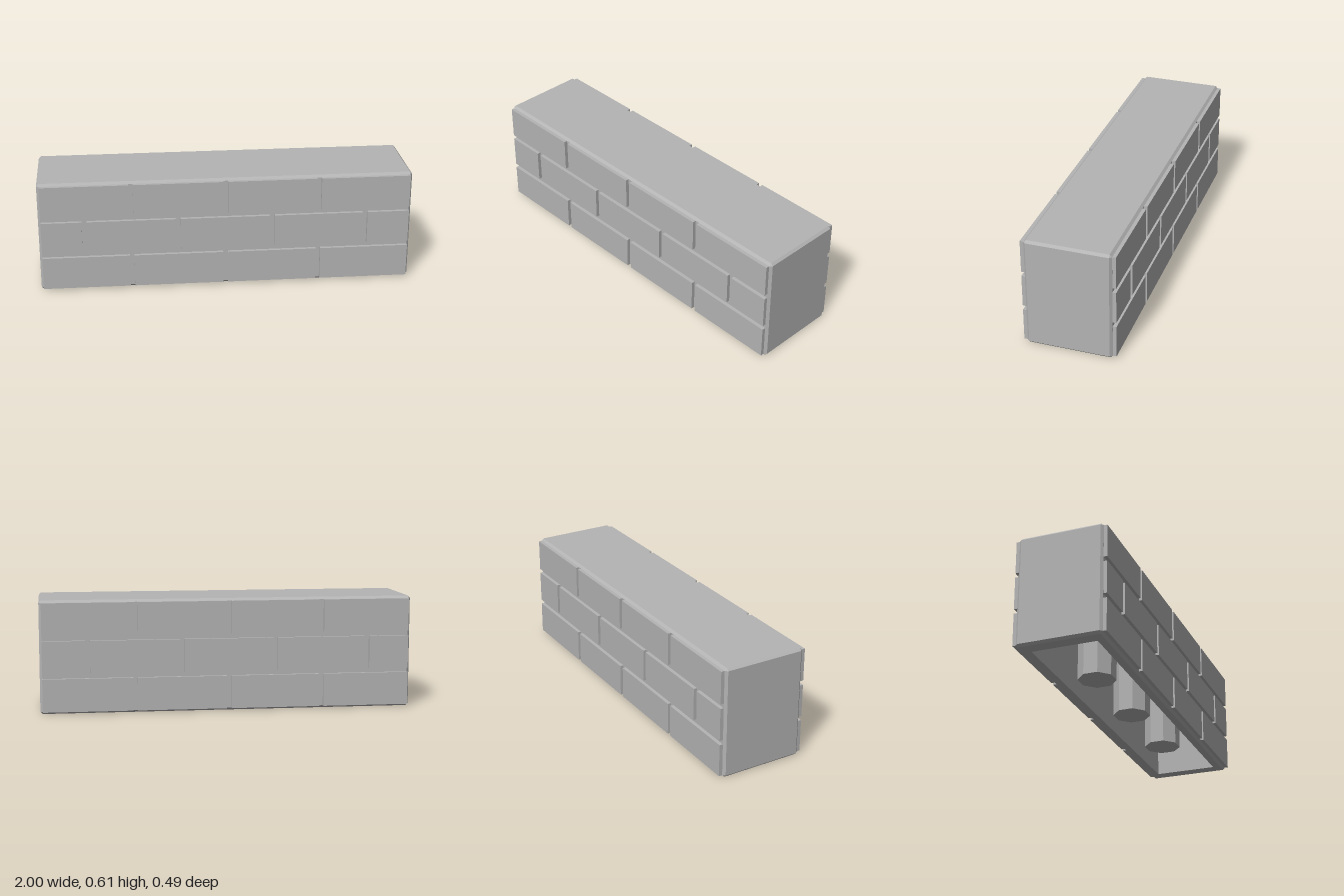
import * as THREE from 'three';

const HX = 1, HZ = 0.227, H = 0.605, C = 0.0125; // body half sizes, height, chamfer
const CEILING = 0.52;

// Eight-point horizontal ring: a rectangle with corners cut by c
function ring(y, hx, hz, c = 0) {
  return [
    [hx, hz - c], [hx - c, hz], [-hx + c, hz], [-hx, hz - c],
    [-hx, -hz + c], [-hx + c, -hz], [hx - c, -hz], [hx, -hz + c],
  ].map(([x, z]) => new THREE.Vector3(x, y, z));
}

// Flat-faced skin through successive rings, leaving out collapsed triangles
function skin(rings) {
  const points = [];
  const tri = (a, b, c) => {
    if (new THREE.Triangle(a, b, c).getArea() > 1e-8) points.push(a, b, c);
  };
  for (let r = 0; r < rings.length - 1; r++) {
    const lo = rings[r], hi = rings[r + 1];
    for (let i = 0; i < 8; i++) {
      const j = (i + 1) % 8;
      tri(lo[i], hi[i], lo[j]);
      tri(lo[j], hi[i], hi[j]);
    }
  }
  const geometry = new THREE.BufferGeometry().setFromPoints(points);
  geometry.computeVertexNormals();
  return geometry;
}

export function createModel() {
  const model = new THREE.Group();
  model.name = 'masonryBlock';
  const grey = new THREE.MeshStandardMaterial({ color: 0xb4b4b4 });
  grey.name = 'stone grey';

  const add = (name, geometry, x, y, z, parent = model) => {
    const mesh = new THREE.Mesh(geometry, grey);
    mesh.name = name;
    mesh.position.set(x, y, z);
    parent.add(mesh);
    return mesh;
  };

  // Chamfered shell, open underneath: cavity ceiling, walls, rim, outside, top
  add('shell', skin([
    ring(CEILING, 0, 0),
    ring(CEILING, 0.92, 0.174),
    ring(0, 0.92, 0.174),
    ring(0, HX - C, HZ - C),
    ring(C, HX, HZ, C),
    ring(H - C, HX, HZ, C),
    ring(H, HX - C, HZ - C),
    ring(H, 0, 0),
  ]), 0, 0, 0);

  // Raised bricks in running bond, the same on front and back
  const even = [[-0.987, -0.521], [-0.497, -0.019], [0.007, 0.484], [0.508, 0.987]];
  const odd = [[-0.987, -0.772], [-0.746, -0.27], [-0.246, 0.233], [0.259, 0.735], [0.761, 0.987]];
  const rowHeight = 0.177, rowStep = 0.2015, depth = 0.02;
  for (const [side, sign] of [['front', 1], ['back', -1]]) {
    const wall = new THREE.Group();
    wall.name = side + 'Bricks';
    model.add(wall);
    [even, odd, even].forEach((row, r) => {
      for (const [x0, x1] of row) {
        const y = C + r * rowStep + rowHeight / 2;
        add('brick', new THREE.BoxGeometry(x1 - x0, rowHeight, depth),
          (x0 + x1) / 2, y, sign * (HZ - 0.001 + depth / 2), wall);
      }
    });
  }

  // Octagonal posts inside the cavity
  const post = new THREE.CylinderGeometry(0.1, 0.1, CEILING, 8, 1, false, Math.PI / 8).toNonIndexed();
  post.computeVertexNormals();
  for (const x of [-0.5, 0, 0.5]) add('innerPost', post, x, CEILING / 2, 0);

  return model;
}
